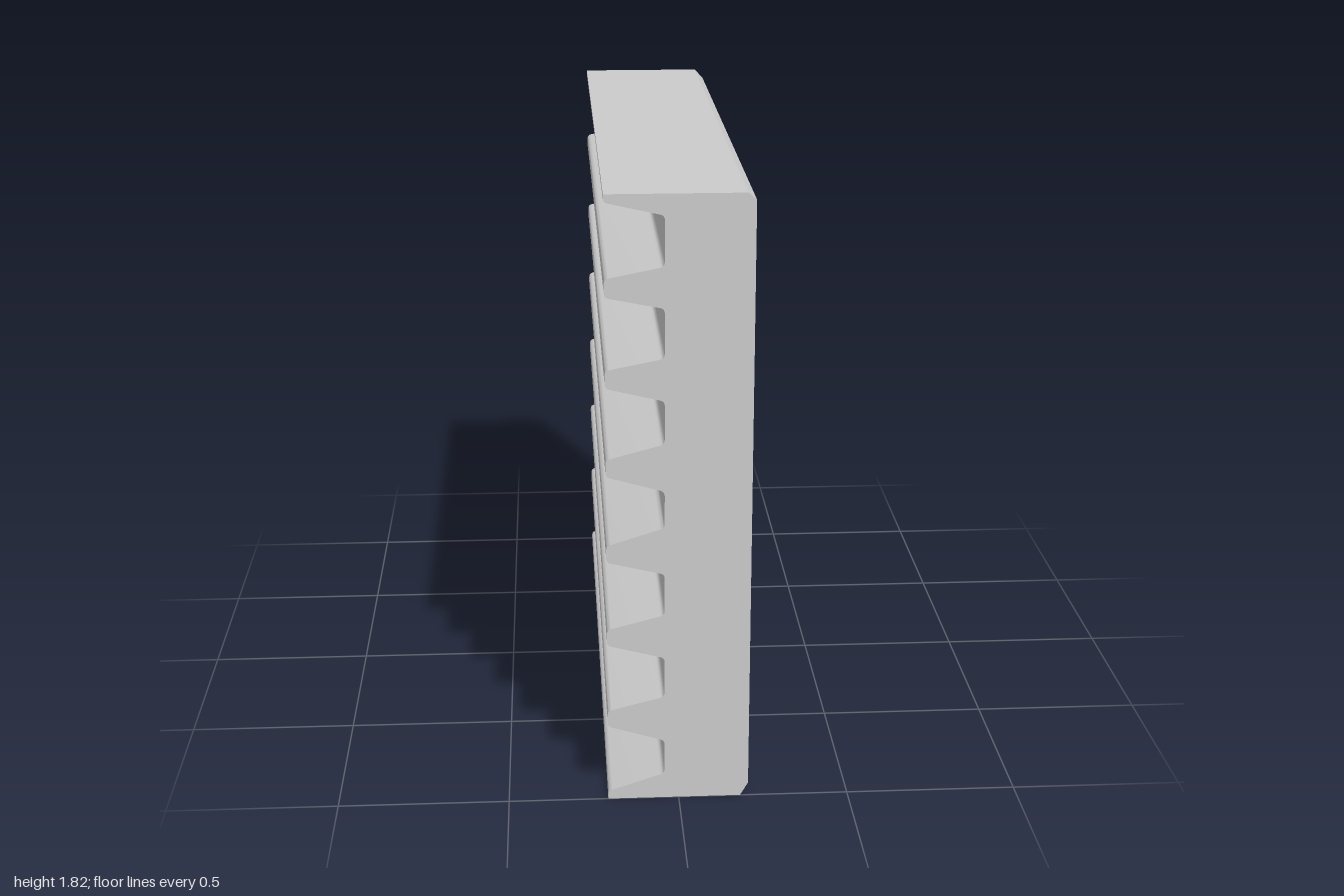
import * as THREE from 'three';
import { toCreasedNormals } from 'three/addons/utils/BufferGeometryUtils.js';

const H = 1.82, DEPTH = 2, TIP = -0.208, ROOT = -0.042, SHOULDER = 0.182, FACE = 0.208;
const BEVEL = FACE - SHOULDER, R = 0.013;

// Grooves from top to bottom: y of upper tip, upper root, lower root, lower tip
const GROOVES = [
  [1.797, 1.76, 1.618, 1.585],
  [1.533, 1.5, 1.358, 1.325],
  [1.274, 1.234, 1.108, 1.064],
  [1.014, 0.967, 0.857, 0.805],
  [0.755, 0.715, 0.588, 0.545],
  [0.496, 0.453, 0.329, 0.287],
  [0.237, 0.187, 0.08, 0.025],
];

// Adds a corner at p, rounded between its neighbours a and b
function roundCorner(shape, a, p, b) {
  const toward = (q) => p.clone().add(q.clone().sub(p).setLength(Math.min(R, p.distanceTo(q) * 0.45)));
  const start = toward(a), end = toward(b);
  shape.lineTo(start.x, start.y);
  shape.quadraticCurveTo(p.x, p.y, end.x, end.y);
}

export function createModel() {
  const group = new THREE.Group();
  const material = new THREE.MeshStandardMaterial({ color: 0xcccccc });

  // Ribbed block: toothed profile extruded along z
  const pts = [new THREE.Vector2(TIP, H)];
  for (const [t1, r1, r2, t2] of GROOVES) {
    pts.push(new THREE.Vector2(TIP, t1), new THREE.Vector2(ROOT, r1),
      new THREE.Vector2(ROOT, r2), new THREE.Vector2(TIP, t2));
  }
  pts.push(new THREE.Vector2(TIP, 0));
  const shape = new THREE.Shape();
  shape.moveTo(SHOULDER, 0);
  shape.lineTo(SHOULDER, H);
  shape.lineTo(TIP, H);
  for (let i = 1; i < pts.length - 1; i++) roundCorner(shape, pts[i - 1], pts[i], pts[i + 1]);
  shape.lineTo(TIP, 0);
  shape.closePath();
  const bodyGeo = new THREE.ExtrudeGeometry(shape, { depth: DEPTH, bevelEnabled: false, curveSegments: 4 });
  bodyGeo.translate(0, 0, -DEPTH / 2);
  const body = new THREE.Mesh(toCreasedNormals(bodyGeo, 0.6), material);
  body.name = 'ribbedBlock';
  group.add(body);

  // Bevelled face: a thin slab whose outer side is inset on all four edges
  let faceGeo = new THREE.BoxGeometry(BEVEL, H, DEPTH);
  const pos = faceGeo.attributes.position;
  for (let i = 0; i < pos.count; i++) {
    if (pos.getX(i) > 0) {
      pos.setY(i, pos.getY(i) - Math.sign(pos.getY(i)) * BEVEL);
      pos.setZ(i, pos.getZ(i) - Math.sign(pos.getZ(i)) * BEVEL);
    }
  }
  faceGeo = faceGeo.toNonIndexed();
  faceGeo.computeVertexNormals();
  const face = new THREE.Mesh(faceGeo, material);
  face.name = 'bevelledFace';
  face.position.set((SHOULDER + FACE) / 2, H / 2, 0);
  group.add(face);

  return group;
}
